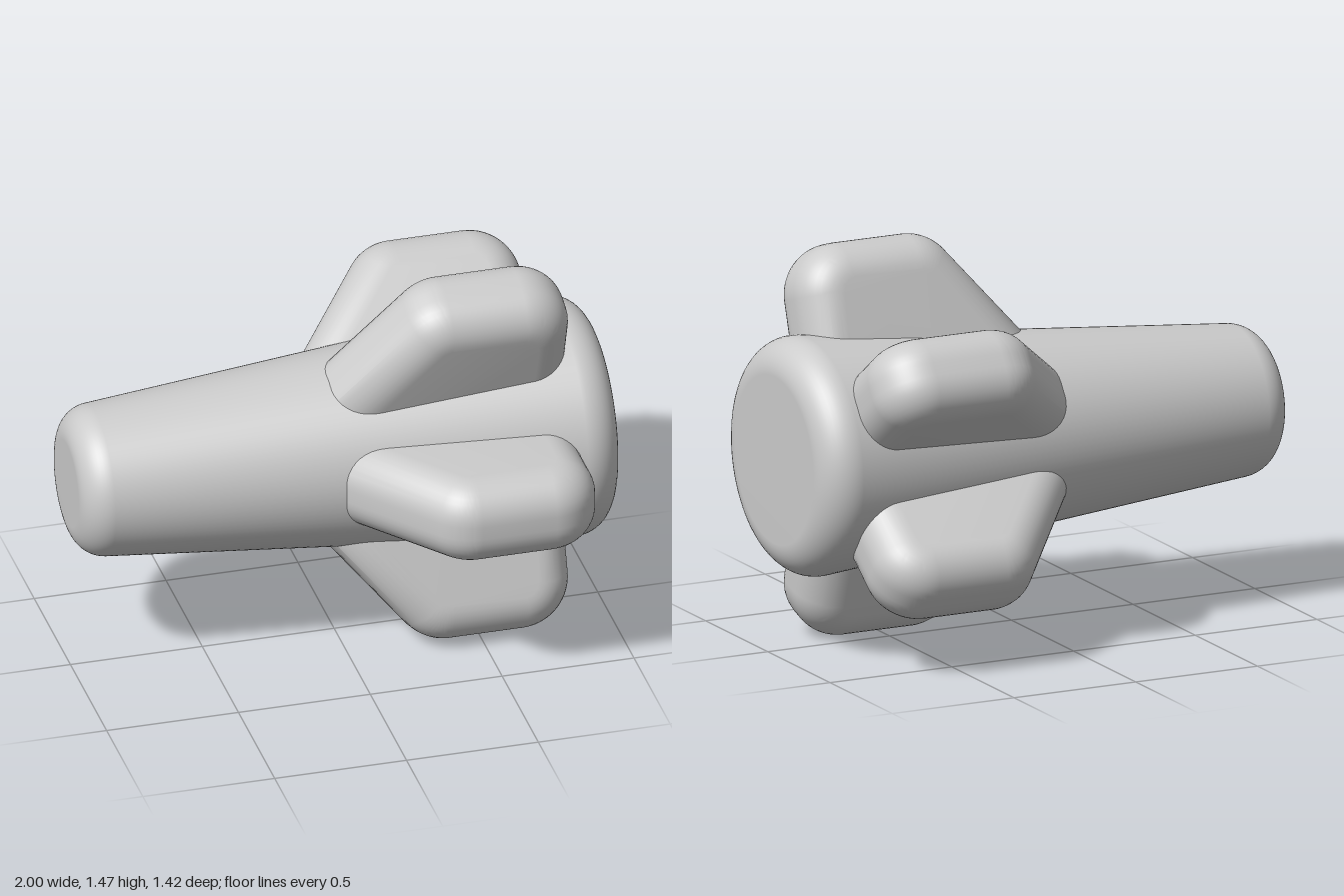
import * as THREE from 'three';
import { toCreasedNormals } from 'three/addons/utils/BufferGeometryUtils.js';

const material = new THREE.MeshStandardMaterial({ color: 0xcccccc });

// Tapered body with rounded rims, turned around its own axis
function makeBody() {
  const points = [new THREE.Vector2(0, -1)];
  const slope = Math.PI / 2 + 0.092;
  const rim = (along, radius, r, from, to) => {
    for (let i = 0; i <= 12; i++) {
      const a = from + (to - from) * i / 12;
      points.push(new THREE.Vector2(radius + r * Math.sin(a), along + r * Math.cos(a)));
    }
  };
  rim(-0.88, 0.164, 0.12, Math.PI, slope);
  rim(0.87, 0.315, 0.13, slope, 0);
  points.push(new THREE.Vector2(0, 1));
  const body = new THREE.Mesh(new THREE.LatheGeometry(points, 96), material);
  body.name = 'body';
  body.rotation.z = -Math.PI / 2;
  return body;
}

// Fin core outline (x along the body, y outward), swollen by a round bevel;
// the square root of the fin is buried in the body
function makeFinGeometry() {
  const lean = Math.PI - Math.atan2(1, 1.25);
  const r = 0.05;
  const shape = new THREE.Shape();
  shape.moveTo(0.7, 0);
  shape.lineTo(0.029, 0);
  shape.lineTo(0.029, 0.22);
  shape.absarc(0.373, 0.57, r, lean, Math.PI / 2, true);
  shape.absarc(0.65, 0.57, r, Math.PI / 2, 0, true);
  const geometry = new THREE.ExtrudeGeometry(shape, {
    depth: 0.05, curveSegments: 10,
    bevelSize: 0.14, bevelThickness: 0.14, bevelSegments: 10,
  });
  geometry.translate(0, 0, -0.025);
  return toCreasedNormals(geometry, 0.6);
}

export function createModel() {
  const model = new THREE.Group();
  model.name = 'finnedBody';
  model.position.set(0, 0.74, -0.05);
  model.add(makeBody());

  // Five fins spaced evenly around the body
  const finGeometry = makeFinGeometry();
  for (let i = 0; i < 5; i++) {
    const fin = new THREE.Mesh(finGeometry, material);
    fin.name = `fin${i + 1}`;
    fin.rotation.x = Math.PI / 2 + i * Math.PI * 2 / 5;
    model.add(fin);
  }

  const root = new THREE.Group();
  root.add(model);
  return root;
}
